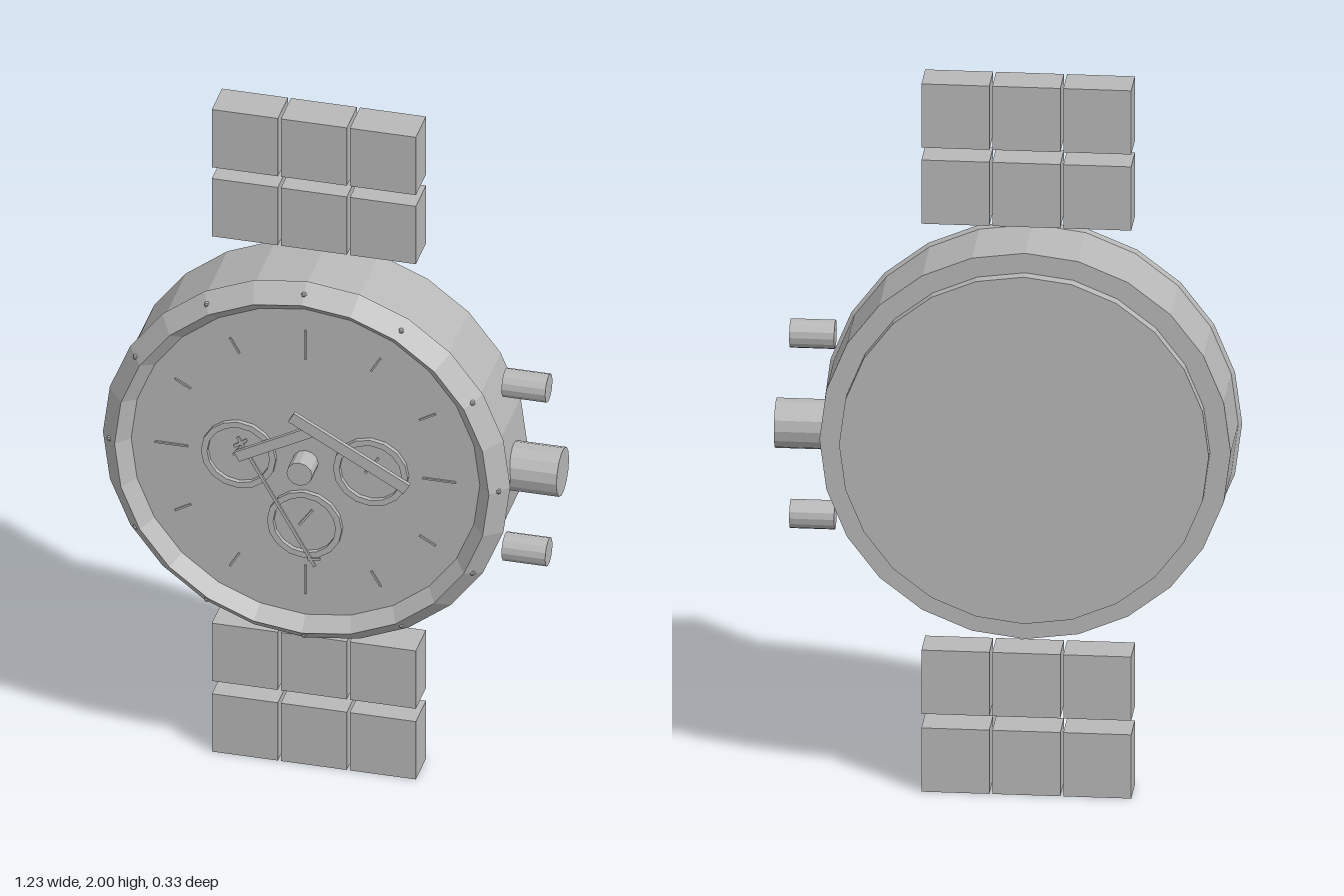
import * as THREE from 'three';

export function createModel() {
  const model = new THREE.Group();
  model.name = 'wristwatch';
  const steel = new THREE.MeshStandardMaterial({ color: 0xb8b8b8 });
  steel.name = 'steel grey';
  steel.flatShading = true;

  const watch = new THREE.Group();
  watch.name = 'watchHead';
  watch.position.set(-0.06, 1, 0);
  model.add(watch);

  const add = (parent, name, geometry, x = 0, y = 0, z = 0) => {
    const mesh = new THREE.Mesh(geometry, steel);
    mesh.name = name;
    mesh.position.set(x, y, z);
    parent.add(mesh);
    return mesh;
  };
  // Profile of [radius, z] pairs turned around the z axis
  const turned = (profile, sides) =>
    new THREE.LatheGeometry(profile.map(([r, z]) => new THREE.Vector2(r, z)), sides).rotateX(Math.PI / 2);
  // Flat bar between two points on the dial
  const bar = (name, [x1, y1], [x2, y2], width, z, depth) => {
    const length = Math.hypot(x2 - x1, y2 - y1);
    const mesh = add(watch, name, new THREE.BoxGeometry(length, width, depth), (x1 + x2) / 2, (y1 + y2) / 2, z);
    mesh.rotation.z = Math.atan2(y2 - y1, x2 - x1);
    return mesh;
  };

  // Case, back cover, bezel and dial
  add(watch, 'backCover', turned([[0, -0.165], [0.49, -0.165], [0.49, -0.13]], 24));
  add(watch, 'case', turned([[0, -0.132], [0.545, -0.132], [0.545, 0.085]], 24));
  add(watch, 'bezel', turned([[0.54, 0.08], [0.555, 0.088], [0.51, 0.14], [0.475, 0.1]], 24));
  add(watch, 'dial', turned([[0.48, 0.1], [0, 0.1]], 24));

  // Hour markers and bezel pips
  for (let i = 0; i < 12; i++) {
    const a = (i * Math.PI) / 6, c = Math.cos(a), s = Math.sin(a);
    const inner = i % 3 ? 0.36 : 0.32;
    bar('hourMarker', [inner * c, inner * s], [0.41 * c, 0.41 * s], 0.005, 0.102, 0.005);
    add(watch, 'bezelPip', new THREE.SphereGeometry(0.008, 6, 4), 0.53 * c, 0.53 * s, 0.116);
  }

  // Subdials with their small hands
  for (const [x, y] of [[-0.18, 0], [0.18, 0], [0, -0.19]]) {
    add(watch, 'subdialRing', turned([[0.102, 0.1], [0.102, 0.113], [0.085, 0.113], [0.085, 0.1]], 16), x, y);
    bar('subdialHand', [x - 0.015, y - 0.005], [x + 0.02, y + 0.045], 0.006, 0.106, 0.006);
  }

  // Main hands and centre post
  bar('hourHand', [-0.18, 0.005], [0.035, 0.12], 0.03, 0.125, 0.012);
  bar('minuteHand', [-0.03, 0.155], [0.285, -0.02], 0.032, 0.132, 0.012);
  bar('secondHand', [-0.18, 0.06], [0.03, -0.31], 0.008, 0.118, 0.006);
  bar('secondHandTip', [0.01, -0.29], [0.045, -0.285], 0.006, 0.118, 0.006);
  bar('secondHandTail', [-0.19, 0.03], [-0.155, 0.055], 0.008, 0.118, 0.006);
  add(watch, 'centrePost', new THREE.CylinderGeometry(0.035, 0.035, 0.065, 12).rotateX(Math.PI / 2), 0, 0, 0.1325);

  // Crown and pushers on the side
  const knob = (name, radius, x1, x2, y) =>
    add(model, name, new THREE.CylinderGeometry(radius, radius, x2 - x1, 14).rotateZ(Math.PI / 2), (x1 + x2) / 2, y, -0.02);
  knob('crown', 0.067, 0.47, 0.61, 1);
  for (const y of [0.745, 1.255]) knob('pusher', 0.039, 0.453, 0.572, y);

  // Strap links, three abreast in two rows above and below
  for (const y of [0.09, 0.31, 1.695, 1.91]) {
    for (let i = -1; i <= 1; i++) {
      add(model, 'strapLink', new THREE.BoxGeometry(0.18, 0.18, 0.107), -0.06 + i * 0.188, y, -0.042);
    }
  }
  return model;
}
